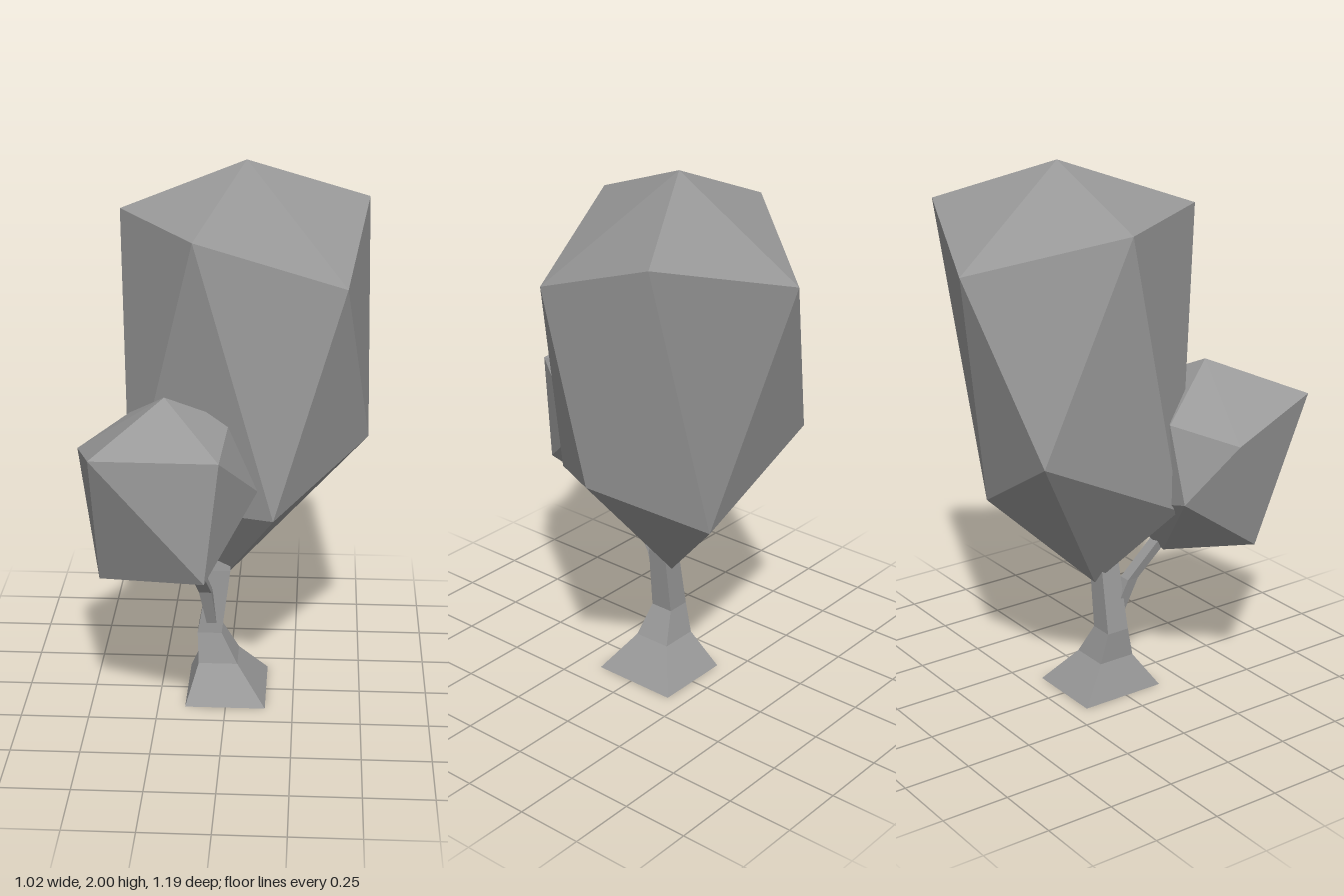
import * as THREE from 'three';

const material = new THREE.MeshStandardMaterial({ color: 0x999999, flatShading: true, side: THREE.DoubleSide });

function facetMesh(name, triangles) {
  const geometry = new THREE.BufferGeometry();
  geometry.setAttribute('position', new THREE.Float32BufferAttribute(triangles.flat(), 3));
  geometry.computeVertexNormals();
  const mesh = new THREE.Mesh(geometry, material);
  mesh.name = name;
  return mesh;
}

// Open four-sided limb from sections [y, xMin, xMax, zMin, zMax]
function limb(name, sections) {
  const rings = sections.map(([y, x0, x1, z0, z1]) =>
    [[x0, y, z1], [x1, y, z1], [x1, y, z0], [x0, y, z0]]);
  const triangles = [];
  for (let r = 0; r + 1 < rings.length; r++) {
    const lo = rings[r], up = rings[r + 1];
    for (let i = 0; i < 4; i++) {
      const j = (i + 1) % 4;
      triangles.push(lo[i], lo[j], up[j], lo[i], up[j], up[i]);
    }
  }
  return facetMesh(name, triangles);
}

// Faceted crown: irregular icosahedron with two staggered rings of five
function crown(name, bottom, lower, upper, top) {
  const triangles = [];
  for (let i = 0; i < 5; i++) {
    const j = (i + 1) % 5;
    triangles.push(
      top, upper[i], upper[j],
      upper[i], lower[i], upper[j],
      lower[i], lower[j], upper[j],
      bottom, lower[j], lower[i]);
  }
  return facetMesh(name, triangles);
}

export function createModel() {
  const tree = new THREE.Group();
  tree.name = 'tree';

  // Flared trunk
  tree.add(limb('trunk', [
    [0, -0.15, 0.147, -0.18, 0.153],
    [0.135, -0.105, 0.04, -0.085, 0.06],
    [0.25, -0.11, -0.02, -0.055, 0.035],
    [0.5, -0.065, 0.012, -0.052, 0.025],
    [0.62, -0.05, 0.01, -0.06, 0.01],
  ]));

  // Side branch carrying the small crown
  tree.add(limb('branch', [
    [0.28, -0.075, -0.038, -0.015, 0.03],
    [0.44, -0.1, -0.055, 0.042, 0.087],
    [0.58, -0.13, -0.085, 0.155, 0.205],
    [0.68, -0.14, -0.1, 0.205, 0.245],
  ]));

  // Tall main crown
  tree.add(crown('mainCrown',
    [-0.025, 0.43, -0.055],
    [[0.175, 0.82, 0.3], [0.51, 0.99, -0.12], [0.175, 0.77, -0.39], [-0.29, 1.04, -0.445], [-0.35, 0.79, 0.08]],
    [[-0.1, 1.82, 0.325], [0.42, 1.62, 0.155], [0.5, 1.82, -0.39], [-0.02, 1.67, -0.595], [-0.39, 1.82, -0.155]],
    [0.06, 2, -0.15]));

  // Small side crown
  tree.add(crown('sideCrown',
    [-0.13, 0.54, 0.18],
    [[-0.05, 0.7, 0.57], [0.12, 0.93, 0.29], [0.01, 0.72, 0.04], [-0.42, 0.84, 0.05], [-0.43, 0.62, 0.365]],
    [[-0.43, 1.15, 0.595], [0, 1.13, 0.55], [0.02, 1.17, 0.23], [-0.35, 1.12, 0.035], [-0.515, 1.05, 0.215]],
    [-0.2, 1.275, 0.305]));

  return tree;
}
